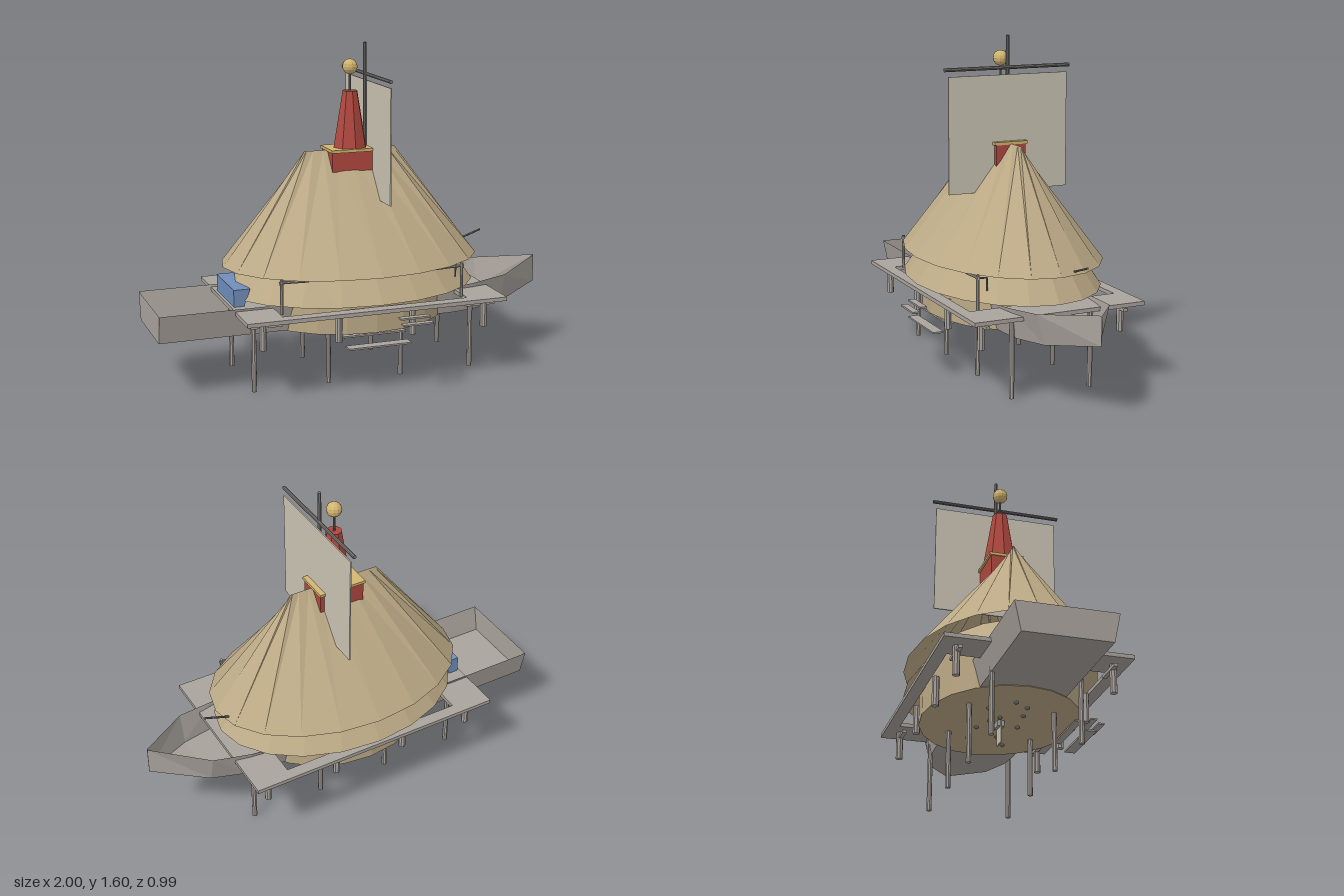
import * as THREE from 'three';

const mat = (name, color, opts = {}) => {
  const m = new THREE.MeshStandardMaterial({ color, flatShading: true, ...opts });
  m.name = name;
  return m;
};

export function createModel() {
  const group = new THREE.Group();
  const D = { side: THREE.DoubleSide };
  const thatch = mat('thatch', 0xbcaa86, D);
  const wood = mat('weathered wood', 0xaaa39d, D);
  const pole = mat('dark pole', 0x77736f);
  const red = mat('red', 0xb0483f);
  const gold = mat('gold', 0xd2b670);
  const canvas = mat('canvas', 0xc9c3b2, D);
  const blue = mat('blue', 0x6f8dbb);
  const CZ = -0.052; // shared centre line

  const add = (name, geo, material, x = 0, y = 0, z = 0) => {
    const m = new THREE.Mesh(geo, material);
    m.name = name;
    m.position.set(x, y, z);
    group.add(m);
    return m;
  };
  // box given by its limits
  const box = (name, material, x0, x1, y0, y1, z0, z1) =>
    add(name, new THREE.BoxGeometry(x1 - x0, y1 - y0, z1 - z0), material,
      (x0 + x1) / 2, (y0 + y1) / 2, (z0 + z1) / 2);
  // round rod between two points
  const rod = (name, material, a, b, r, sides = 8) => {
    const p = new THREE.Vector3(...a), q = new THREE.Vector3(...b);
    const d = q.clone().sub(p);
    const m = add(name, new THREE.CylinderGeometry(r, r, d.length(), sides), material);
    m.position.copy(p).add(q).multiplyScalar(0.5);
    m.quaternion.setFromUnitVectors(new THREE.Vector3(0, 1, 0), d.normalize());
    return m;
  };
  // skin over cross-sections with equal point counts
  const loft = (rings, closed) => {
    const pos = [], n = rings[0].length;
    for (let i = 0; i < rings.length - 1; i++)
      for (let j = 0; j < (closed ? n : n - 1); j++) {
        const k = (j + 1) % n;
        const a = rings[i][j], b = rings[i][k], c = rings[i + 1][k], d = rings[i + 1][j];
        pos.push(...a, ...d, ...b, ...b, ...d, ...c);
      }
    const g = new THREE.BufferGeometry();
    g.setAttribute('position', new THREE.Float32BufferAttribute(pos, 3));
    g.computeVertexNormals();
    return g;
  };
  const ellipse = (rx, rz, y) => Array.from({ length: 20 }, (_, i) => {
    const t = -i / 20 * Math.PI * 2;
    return [rx * Math.cos(t), y, CZ + rz * Math.sin(t)];
  });

  // hut: wall, floor, lower skirt and main roof narrowing to a ridge
  add('hutWall', loft([ellipse(0.46, 0.37, 0.278), ellipse(0.46, 0.37, 0.5)], true), thatch);
  add('hutFloor', loft([ellipse(0, 0, 0.278), ellipse(0.46, 0.37, 0.278)], true), thatch);
  add('lowerRoof', loft([ellipse(0.62, 0.44, 0.43), ellipse(0.52, 0.34, 0.57)], true), thatch);
  add('mainRoof', loft([ellipse(0.64, 0.442, 0.56), ellipse(0.23, 0, 1.092)], true), thatch);

  // open boat hull: x, half widths at rim and floor, heights of rim and floor
  const stations = [
    [-1, 0.228, 0.2, 0.416, 0.281], [0.45, 0.228, 0.2, 0.416, 0.281],
    [0.57, 0.215, 0.19, 0.425, 0.284], [0.75, 0.182, 0.145, 0.442, 0.297],
    [1, 0.002, 0.001, 0.478, 0.34],
  ];
  add('hull', loft(stations.map(([x, w, f, top, low]) => [
    [x, top, CZ - w], [x, low, CZ - f], [x, low, CZ + f], [x, top, CZ + w],
  ]), false), wood);
  add('transom', loft([
    [[-1, 0.281, CZ - 0.2], [-1, 0.281, CZ + 0.2]],
    [[-1, 0.416, CZ - 0.228], [-1, 0.416, CZ + 0.228]],
  ], false), wood);

  // deck frame around the hut
  box('frontDeck', wood, -0.643, 0.643, 0.385, 0.404, 0.32, 0.378);
  box('backDeck', wood, -0.643, 0.643, 0.385, 0.404, -0.482, -0.424);
  for (const s of [-1, 1]) {
    const a = s * 0.46, b = s * 0.643;
    box('sideDeck', wood, Math.min(a, b), Math.max(a, b), 0.385, 0.404, -0.424, 0.32);
    box('deckBeam', wood, s * 0.535 - 0.075, s * 0.535 + 0.075, 0.355, 0.37, -0.41, -0.39);
    box('deckBeam', wood, s * 0.535 - 0.075, s * 0.535 + 0.075, 0.355, 0.37, 0.29, 0.31);
  }

  // stilts and short deck posts
  for (const x of [-0.553, -0.185, 0.185, 0.553]) {
    for (const z of [0.155, -0.247]) rod('stilt', wood, [x, 0, z], [x, 0.39, z], 0.0125);
    for (const z of [0.308, -0.404]) rod('deckPost', wood, [x, 0.25, z], [x, 0.39, z], 0.017);
  }

  // chimney-like tower with finial
  box('towerBase', red, -0.115, 0.115, 0.94, 1.09, CZ - 0.076, CZ + 0.076);
  box('towerLedge', gold, -0.12, 0.12, 1.088, 1.102, CZ - 0.085, CZ + 0.085);
  add('tower', new THREE.CylinderGeometry(0.037, 0.083, 0.272, 8), red, 0, 1.237, CZ);
  rod('finialRod', pole, [0, 1.36, CZ], [0, 1.47, CZ], 0.006);
  add('finialBall', new THREE.SphereGeometry(0.037, 12, 8), gold, 0, 1.487, CZ);

  // mast, yard and sail
  rod('mast', pole, [0.076, 0.9, CZ], [0.076, 1.6, CZ], 0.009);
  rod('yard', pole, [0.082, 1.449, -0.375], [0.082, 1.449, 0.274], 0.009);
  box('sail', canvas, 0.087, 0.093, 0.865, 1.417, -0.357, 0.258);

  // blue trough on the side deck
  const trough = new THREE.Shape([[-0.63, 0.404], [-0.58, 0.404], [-0.55, 0.486], [-0.63, 0.486]]
    .map(([x, y]) => new THREE.Vector2(x, y)));
  add('trough', new THREE.ExtrudeGeometry(trough, { depth: 0.31, bevelEnabled: false }),
    blue, 0, 0, -0.21);

  // front lamp posts with bracket arms and hooks
  for (const s of [-1, 1]) {
    rod('lampPost', wood, [s * 0.45, 0.4, 0.275], [s * 0.45, 0.565, 0.275], 0.008);
    rod('lampArm', wood, [s * 0.46, 0.552, 0.275], [s * 0.32, 0.548, 0.275], 0.007);
    rod('lampHook', pole, [s * 0.44, 0.548, 0.28], [s * 0.44, 0.545, 0.225], 0.004, 6);
    rod('lampHook', pole, [s * 0.44, 0.545, 0.225], [s * 0.44, 0.485, 0.225], 0.004, 6);
  }

  // tiller over the bow
  rod('tiller', pole, [0.6, 0.57, -0.13], [0.732, 0.616, -0.13], 0.005, 6);

  // boarding steps in front and under the hut
  box('step', wood, 0.065, 0.215, 0.37, 0.378, 0.425, 0.458);
  box('step', wood, 0.065, 0.215, 0.35, 0.358, 0.462, 0.495);
  box('step', wood, -0.155, 0.155, 0.222, 0.23, 0.318, 0.37);
  box('step', wood, -0.155, 0.155, 0.261, 0.269, 0.265, 0.3);

  // keel fin and small knobs under the hull
  box('keelFin', canvas, -0.036, 0.034, 0.172, 0.28, CZ - 0.003, CZ + 0.003);
  box('keelBlock', wood, -0.03, 0.03, 0.25, 0.28, CZ - 0.017, CZ + 0.017);
  for (let i = 0; i < 12; i++)
    add('hullKnob', new THREE.IcosahedronGeometry(0.012, 0), wood,
      -0.27 + i * 0.05, 0.275, CZ + 0.1 * Math.sin(i * 2.4));

  return group;
}
